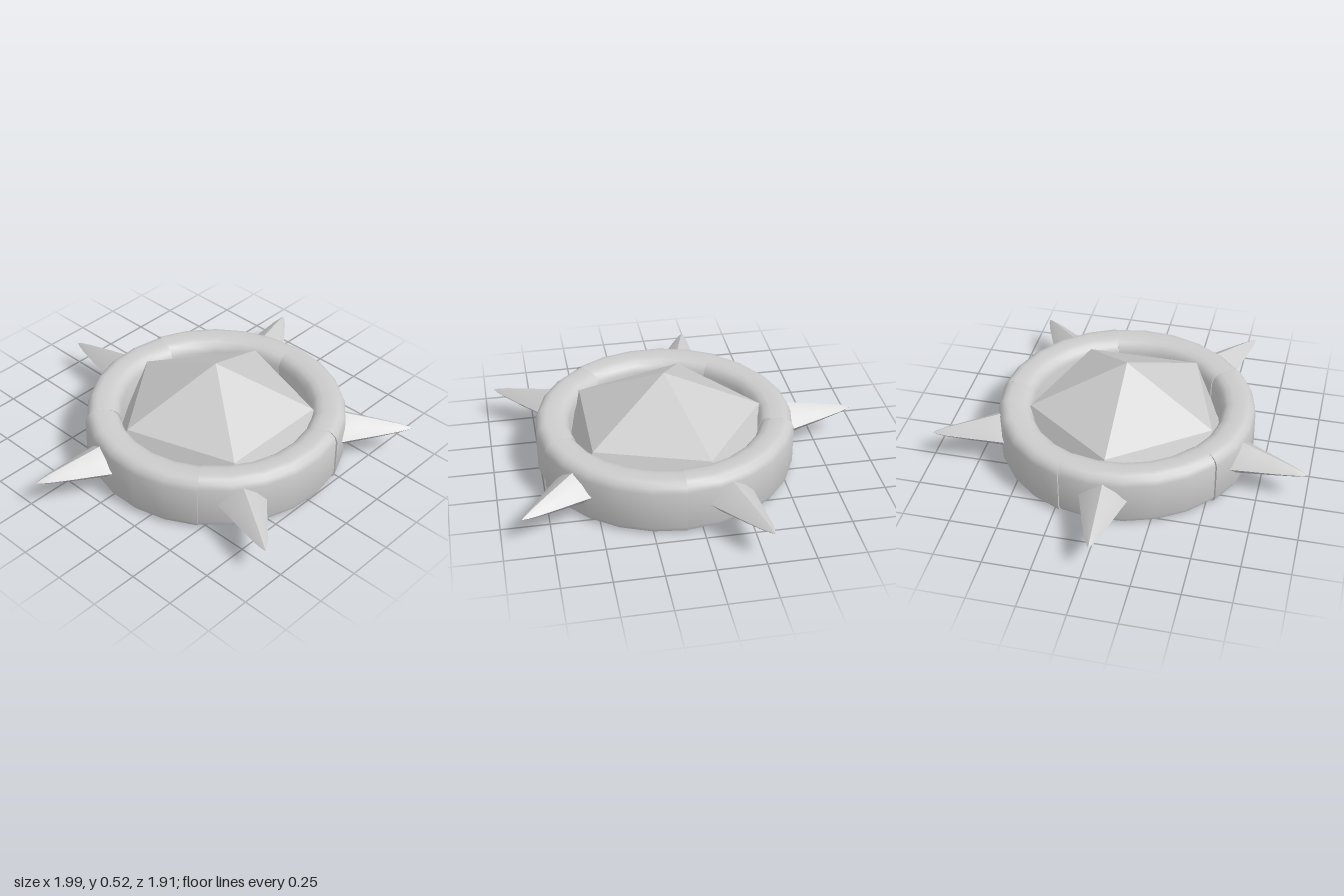
import * as THREE from 'three';
import { toCreasedNormals } from 'three/addons/utils/BufferGeometryUtils.js';

const stone = new THREE.MeshStandardMaterial({ color: 0xcccccc, side: THREE.DoubleSide });
stone.name = 'pale stone';

function part(name, geometry, crease = 0.6) {
  const mesh = new THREE.Mesh(toCreasedNormals(geometry, crease), stone);
  mesh.name = name;
  return mesh;
}

// Thorn with a softened diamond cross-section, from a point on the rim to a tip
function makeSpike(base, tip) {
  const profile = [[0.135, -0.15], [0.125, 0], [0.1, 0.22], [0.07, 0.5], [0.035, 0.8], [0.015, 0.93], [0, 1]];
  const from = new THREE.Vector3(base[0], 0.155, base[1]);
  const to = new THREE.Vector3(tip[0], 0.17, tip[1]);
  const along = to.clone().sub(from);
  const length = along.length();
  const geo = new THREE.LatheGeometry(profile.map(([r, t]) => new THREE.Vector2(r, t * length)), 8);
  const pos = geo.attributes.position;
  for (let i = 0; i < pos.count; i++) {
    const column = Math.floor(i / profile.length);
    const k = column % 2 ? 0.8 : 1; // pull in the corners between the four ridges
    pos.setXYZ(i, pos.getX(i) * k, pos.getY(i), pos.getZ(i) * k * 0.8);
  }
  const y = along.normalize();
  const x = new THREE.Vector3().crossVectors(y, new THREE.Vector3(0, 1, 0)).normalize();
  const z = new THREE.Vector3().crossVectors(x, y);
  geo.applyMatrix4(new THREE.Matrix4().makeBasis(x, y, z).setPosition(from));
  return part('spike', geo, 0.75);
}

export function createModel() {
  const model = new THREE.Group();
  model.name = 'spikedTrap';

  const body = new THREE.Group();
  body.name = 'body';
  body.position.set(0.01, 0, 0.085);
  model.add(body);

  // Rim of five stone blocks, each set slightly in or out from its neighbours
  const rim = new THREE.Group();
  rim.name = 'rim';
  rim.rotation.y = Math.PI / 2;
  body.add(rim);
  const section = [
    [0.655, 0], [0.678, 0.015], [0.688, 0.04], [0.688, 0.245], [0.678, 0.272], [0.655, 0.292], [0.63, 0.297],
    [0.57, 0.295], [0.54, 0.286], [0.52, 0.268], [0.507, 0.235], [0.505, 0.06],
  ];
  const step = (Math.PI * 2) / 5;
  [1, 0.988, 1.003, 0.992, 1.004].forEach((s, k) => {
    const points = section.map(([r, y]) => new THREE.Vector2(r * s, y));
    rim.add(part('rimBlock', new THREE.LatheGeometry(points, 5, k * step, step)));
    // End faces that close the small steps at the joints
    for (const angle of [k * step, (k + 1) * step]) {
      const end = part('rimBlockEnd', new THREE.ShapeGeometry(new THREE.Shape(points)));
      end.rotation.y = angle - Math.PI / 2;
      rim.add(end);
    }
  });

  // Closed base plate under the rim
  const base = part('basePlate', new THREE.CylinderGeometry(0.658, 0.65, 0.1, 25));
  base.position.y = 0.05;
  rim.add(base);

  // Five-sided cap with steep flanks
  const cap = part('pyramidCap', new THREE.ConeGeometry(0.515, 0.245, 5, 1, true), 0.1);
  cap.position.y = 0.4025;
  const flanks = part('pyramidFlanks', new THREE.CylinderGeometry(0.515, 0.63, 0.2, 5, 1, true), 0.1);
  flanks.position.y = 0.18;
  for (const m of [cap, flanks]) {
    m.rotation.y = Math.PI;
    body.add(m);
  }

  // Five outward thorns: [base x, z], [tip x, z]
  [
    [[-0.015, -0.58], [-0.035, -0.96]],
    [[0.645, -0.15], [0.99, -0.285]],
    [[-0.635, -0.1], [-1, -0.195]],
    [[-0.37, 0.63], [-0.565, 0.955]],
    [[0.43, 0.615], [0.665, 0.895]],
  ].forEach(([from, tip]) => model.add(makeSpike(from, tip)));

  return model;
}
